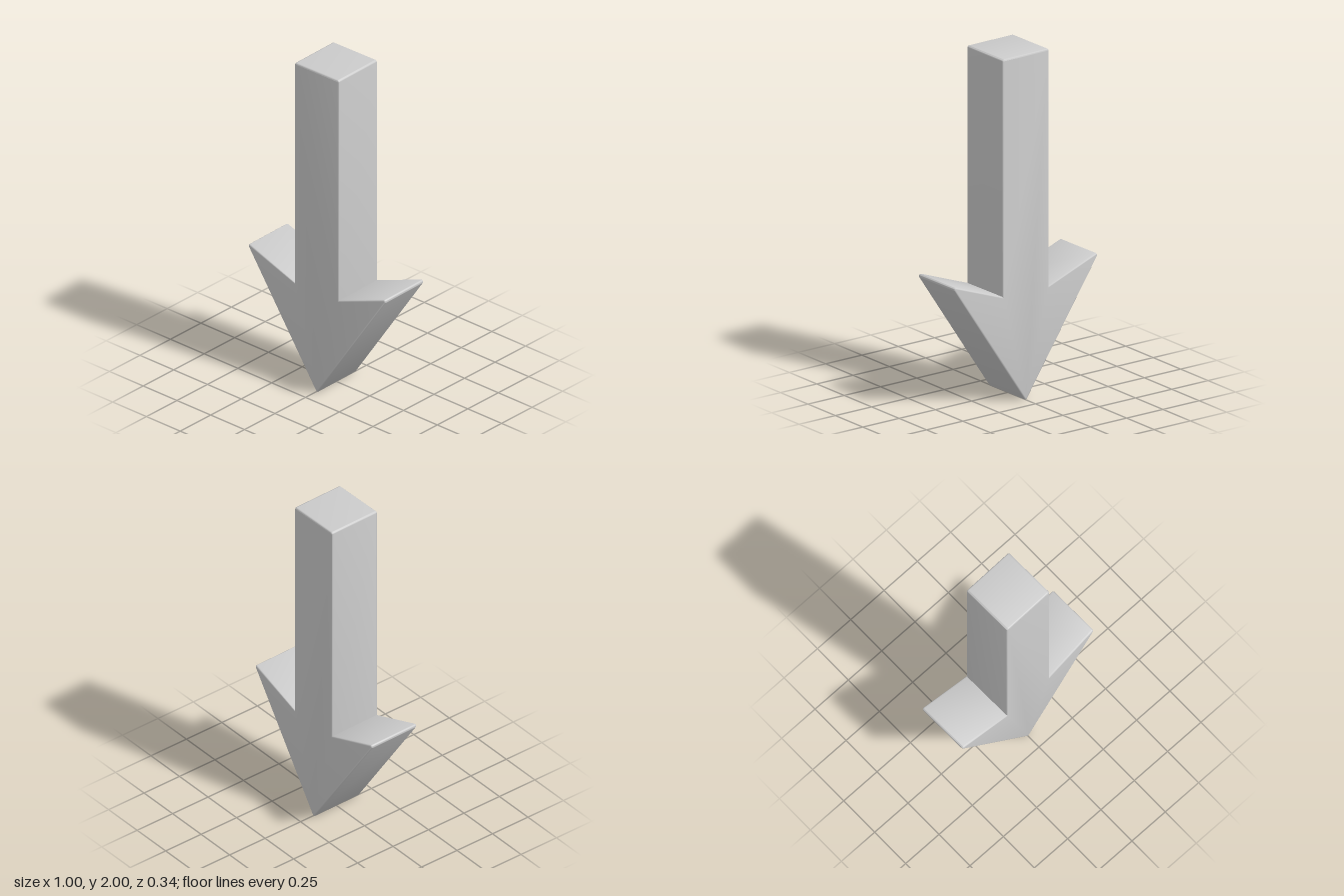
import * as THREE from 'three';
import { toCreasedNormals } from 'three/addons/utils/BufferGeometryUtils.js';

const CORNER = 0.012; // outline corner radius
const BEVEL = 0.01;
const THICKNESS = 0.324;
const HALF_SHAFT = 0.162;

// Downward arrow outline, counter-clockwise from the tip
function arrowOutline() {
  const shape = new THREE.Shape();
  const corner = (x, y, from, to) =>
    shape.absarc(x, y, CORNER, THREE.MathUtils.degToRad(from), THREE.MathUtils.degToRad(to), false);
  const shaftX = HALF_SHAFT - CORNER;

  corner(0, CORNER, 214, 326);            // tip
  corner(0.488, 0.735, -34, 110);         // left barb
  shape.lineTo(HALF_SHAFT, 0.627);        // left notch
  corner(shaftX, 2 - CORNER, 0, 90);      // shaft end
  corner(-shaftX, 2 - CORNER, 90, 180);
  shape.lineTo(-HALF_SHAFT, 0.627);       // right notch
  corner(-0.488, 0.735, 70, 214);         // right barb
  return shape;
}

export function createModel() {
  const model = new THREE.Group();
  model.name = 'downArrow';

  // Thick arrow with softly bevelled edges
  const geometry = new THREE.ExtrudeGeometry(arrowOutline(), {
    depth: THICKNESS - 2 * BEVEL,
    bevelThickness: BEVEL,
    bevelSize: BEVEL,
    bevelOffset: -BEVEL,
    bevelSegments: 3,
    curveSegments: 5,
  });
  geometry.translate(0, 0, BEVEL - THICKNESS / 2);

  const arrow = new THREE.Mesh(
    toCreasedNormals(geometry, 0.7),
    new THREE.MeshStandardMaterial({ color: 0xcccccc })
  );
  arrow.name = 'arrow';
  arrow.rotation.y = 0.017; // slight turn about the vertical
  model.add(arrow);
  return model;
}
